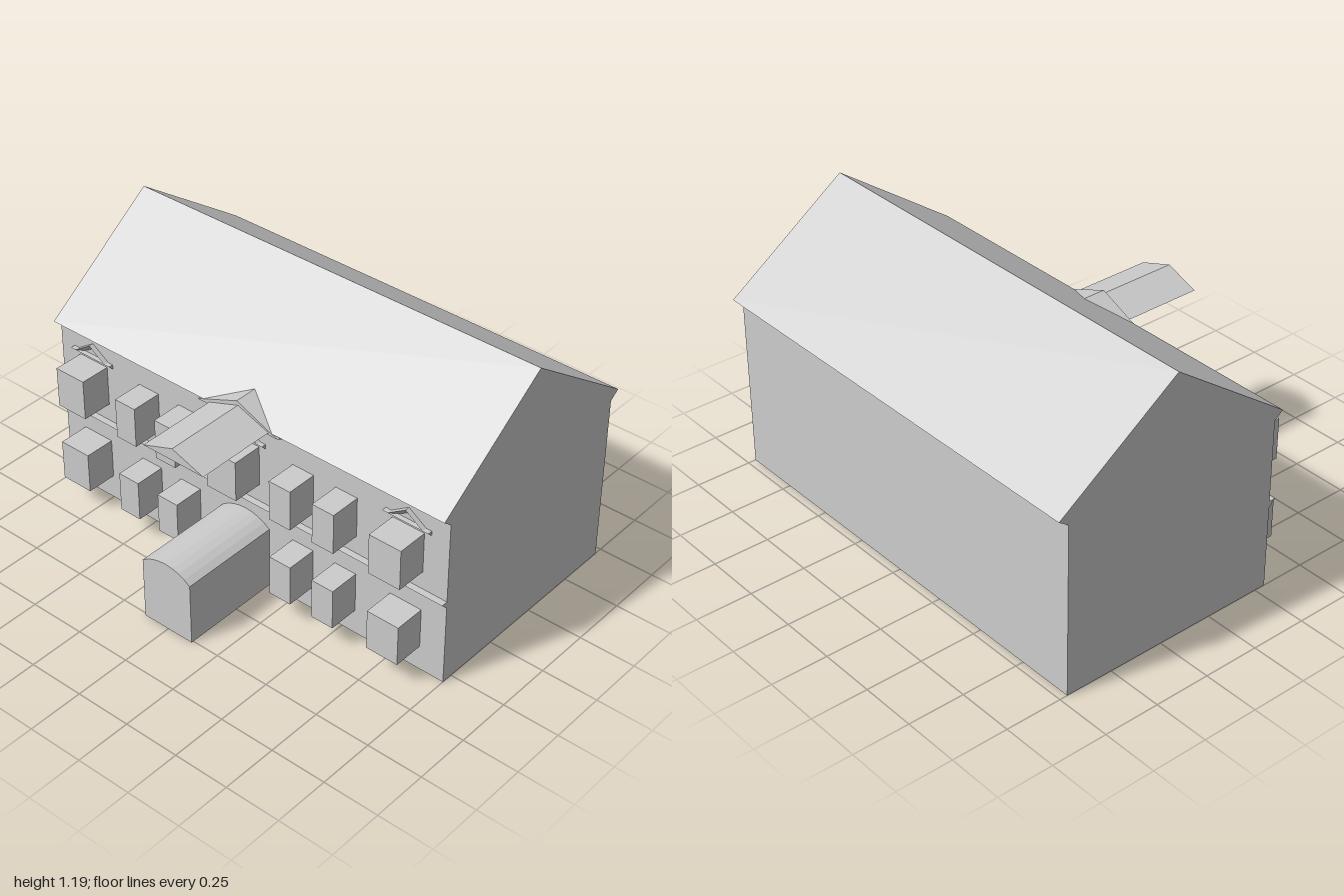
import * as THREE from 'three';

const stone = new THREE.MeshStandardMaterial({ color: 0xcccccc });
stone.name = 'pale stone';

const WALL = 0.30; // z of the front wall

function add(group, name, geometry) {
  const mesh = new THREE.Mesh(geometry, stone);
  mesh.name = name;
  group.add(mesh);
  return mesh;
}

function outline(points) {
  return new THREE.Shape(points.map(([a, b]) => new THREE.Vector2(a, b)));
}

// Profile of [z, y] points swept along x
function sweepX(profile, x0, x1) {
  const shape = outline(profile.map(([z, y]) => [-z, y]));
  const g = new THREE.ExtrudeGeometry(shape, { depth: x1 - x0, bevelEnabled: false });
  return g.rotateY(Math.PI / 2).translate(x0, 0, 0);
}

// Front outline swept along z
function sweepZ(shape, z0, z1, curveSegments = 8) {
  return new THREE.ExtrudeGeometry(shape, { depth: z1 - z0, bevelEnabled: false, curveSegments })
    .translate(0, 0, z0);
}

// Raked moulding: bevelled section following a chevron of outer and inner points
function rake(outer, inner, back, front) {
  const p = [];
  const quad = (a, b, c, d) => p.push(...a, ...b, ...c, ...a, ...c, ...d);
  for (let i = 0; i < 2; i++) {
    const [o0, o1, n0, n1] = [outer[i], outer[i + 1], inner[i], inner[i + 1]];
    quad([...o0, front], [...o1, front], [...o1, back], [...o0, back]);
    quad([...n0, back], [...n1, back], [...o1, front], [...o0, front]);
  }
  const g = new THREE.BufferGeometry();
  g.setAttribute('position', new THREE.Float32BufferAttribute(p, 3));
  g.computeVertexNormals();
  return g;
}

// Triangular ledge whose underside slopes back to the wall
function ledge(x0, x1, y0, y1, front) {
  return sweepX([[WALL - 0.01, y0], [WALL, y0], [front, y1], [WALL - 0.01, y1]], x0, x1);
}

export function createModel() {
  const model = new THREE.Group();
  model.name = 'house';

  // Walls and gabled roof with sloping eaves
  add(model, 'wallsAndRoof', sweepX([
    [WALL, 0], [WALL, 0.765], [0.34, 0.797], [-0.208, 1.187],
    [-0.76, 0.797], [-0.715, 0.765], [-0.715, 0],
  ], -1, 1));
  add(model, 'stringCourse', ledge(-1, 1, 0.37, 0.40, 0.33));

  // Projecting windows: [centre x, width, on ground floor too]
  const windows = [
    [-0.82, 0.15, true], [-0.512, 0.105, true], [-0.298, 0.105, true],
    [0, 0.15, false],
    [0.298, 0.105, true], [0.512, 0.105, true], [0.808, 0.15, true],
  ];
  const depth = 0.138;
  for (const [x, width, ground] of windows) {
    for (const y of ground ? [0.204, 0.573] : [0.573]) {
      const box = add(model, 'window', new THREE.BoxGeometry(width, 0.183, depth));
      box.position.set(x, y, WALL + depth / 2);
    }
  }

  // Small pediments above the wide upper windows
  for (const x of [-0.82, 0, 0.808]) {
    const pediment = new THREE.Group();
    pediment.name = 'windowPediment';
    add(pediment, 'pedimentLedge', ledge(-0.108, 0.108, 0.67, 0.692, 0.322));
    add(pediment, 'pedimentRake', rake(
      [[-0.082, 0.692], [0, 0.747], [0.082, 0.692]],
      [[-0.048, 0.692], [0, 0.722], [0.048, 0.692]], WALL, 0.322));
    pediment.position.x = x;
    model.add(pediment);
  }

  // Central gable running back into the roof, with a bevelled foot
  add(model, 'centralGable',
    sweepZ(outline([[-0.205, 0.785], [0.205, 0.785], [0, 0.87]]), 0.2, 0.341));
  add(model, 'gableFoot', ledge(-0.205, 0.205, 0.765, 0.785, 0.341));

  // Long triangular canopy over the entrance
  add(model, 'entranceCanopy',
    sweepZ(outline([[-0.145, 0.796], [0.16, 0.796], [0.005, 0.851]]), 0.33, 0.705));

  // Arched entrance porch
  const porch = outline([[-0.124, 0], [0.124, 0], [0.124, 0.283]]);
  porch.quadraticCurveTo(0.07, 0.326, 0, 0.327);
  porch.quadraticCurveTo(-0.07, 0.326, -0.124, 0.283);
  add(model, 'entrancePorch', sweepZ(porch, WALL, 0.76, 4));

  return model;
}
